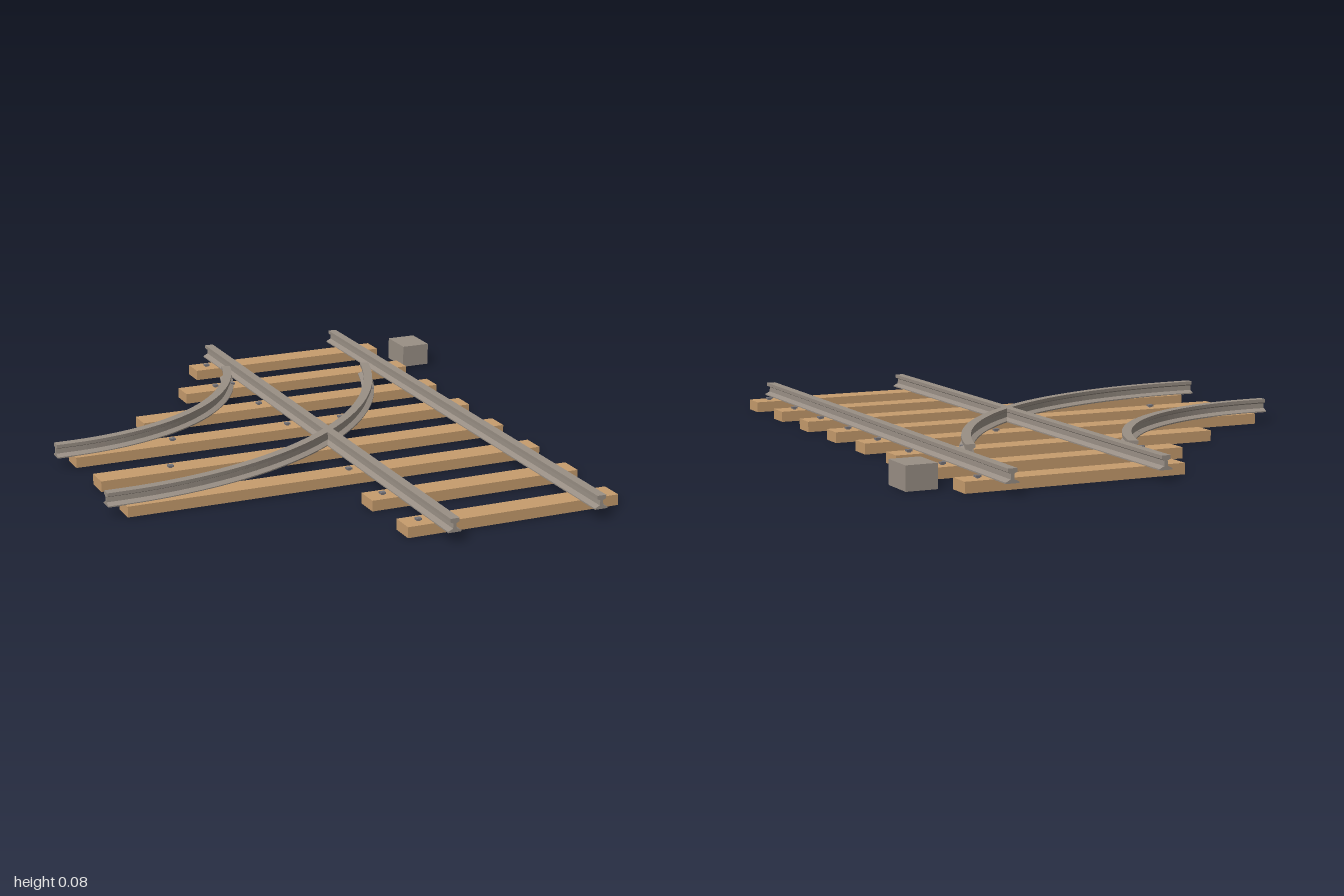
import * as THREE from 'three';

const wood = new THREE.MeshStandardMaterial({ color: 0xc69c6d });
wood.name = 'tie wood';
const steel = new THREE.MeshStandardMaterial({ color: 0x998f85 });
steel.name = 'rail steel';
const iron = new THREE.MeshStandardMaterial({ color: 0x77757a });
iron.name = 'spike iron';

const TIE_H = 0.035;

// I-shaped rail cross-section: foot, web and head, mirrored about the middle
function railShape() {
  const half = [[0.022, 0.034], [0.022, 0.038], [0.006, 0.046], [0.005, 0.062], [0.015, 0.067], [0.015, 0.078]];
  const pts = [...half, ...half.slice().reverse().map(([x, y]) => [-x, y])];
  return new THREE.Shape(pts.map(([x, y]) => new THREE.Vector2(x, y)));
}

function box(group, name, material, x0, x1, y0, y1, z0, z1) {
  const mesh = new THREE.Mesh(new THREE.BoxGeometry(x1 - x0, y1 - y0, z1 - z0), material);
  mesh.position.set((x0 + x1) / 2, (y0 + y1) / 2, (z0 + z1) / 2);
  mesh.name = name;
  group.add(mesh);
}

function straightRail(x) {
  const geo = new THREE.ExtrudeGeometry(railShape(), { depth: 2, bevelEnabled: false });
  geo.translate(x, 0, -1);
  return new THREE.Mesh(geo, steel);
}

// Extrudes a straight rail, then bends it: a short straight lead followed by an arc
function curvedRail(radius, sweep) {
  const cx = -0.76, cz = -0.935, lead = 0.053;
  const geo = new THREE.ExtrudeGeometry(railShape(), { depth: lead + radius * sweep, steps: 32, bevelEnabled: false });
  const p = geo.attributes.position;
  for (let i = 0; i < p.count; i++) {
    const r = radius - p.getX(i);
    const s = p.getZ(i) - lead;
    const a = Math.max(s, 0) / radius;
    p.setX(i, cx + r * Math.sin(a) + Math.min(s, 0));
    p.setZ(i, cz + r * Math.cos(a));
  }
  geo.computeVertexNormals();
  return new THREE.Mesh(geo, steel);
}

export function createModel() {
  const model = new THREE.Group();
  model.name = 'railSwitch';

  // Ties: centre z, left end x, and extra spikes beside the curved rails
  const ties = [
    [-0.88, -0.05, []],
    [-0.63, -0.185, [-0.06]],
    [-0.38, -0.435, [-0.18, 0.43]],
    [-0.13, -0.757, [-0.41, 0.2]],
    [0.12, -0.757, [-0.51]],
    [0.37, -0.757, []],
    [0.62, -0.05, []],
    [0.87, -0.05, []],
  ];
  for (const [z, left, extra] of ties) {
    box(model, 'tie', wood, left, 0.673, 0, TIE_H, z - 0.04, z + 0.04);
    // Spikes: a small shank with a wider head
    for (const x of [0.003, 0.614, ...extra]) {
      box(model, 'spikeShank', iron, x - 0.005, x + 0.005, TIE_H - 0.005, 0.04, z - 0.005, z + 0.005);
      box(model, 'spikeHead', iron, x - 0.009, x + 0.009, 0.038, 0.044, z - 0.008, z + 0.008);
    }
  }

  // Main line
  for (const x of [0.06, 0.56]) {
    const rail = straightRail(x);
    rail.name = 'straightRail';
    model.add(rail);
  }

  // Diverging line, two concentric arcs
  for (const [radius, sweep] of [[0.805, 1.302], [1.305, 1.283]]) {
    const rail = curvedRail(radius, sweep);
    rail.name = 'curvedRail';
    model.add(rail);
  }

  // Switch box beside the track
  box(model, 'switchBox', steel, 0.711, 0.812, 0, 0.077, -0.817, -0.692);

  return model;
}
